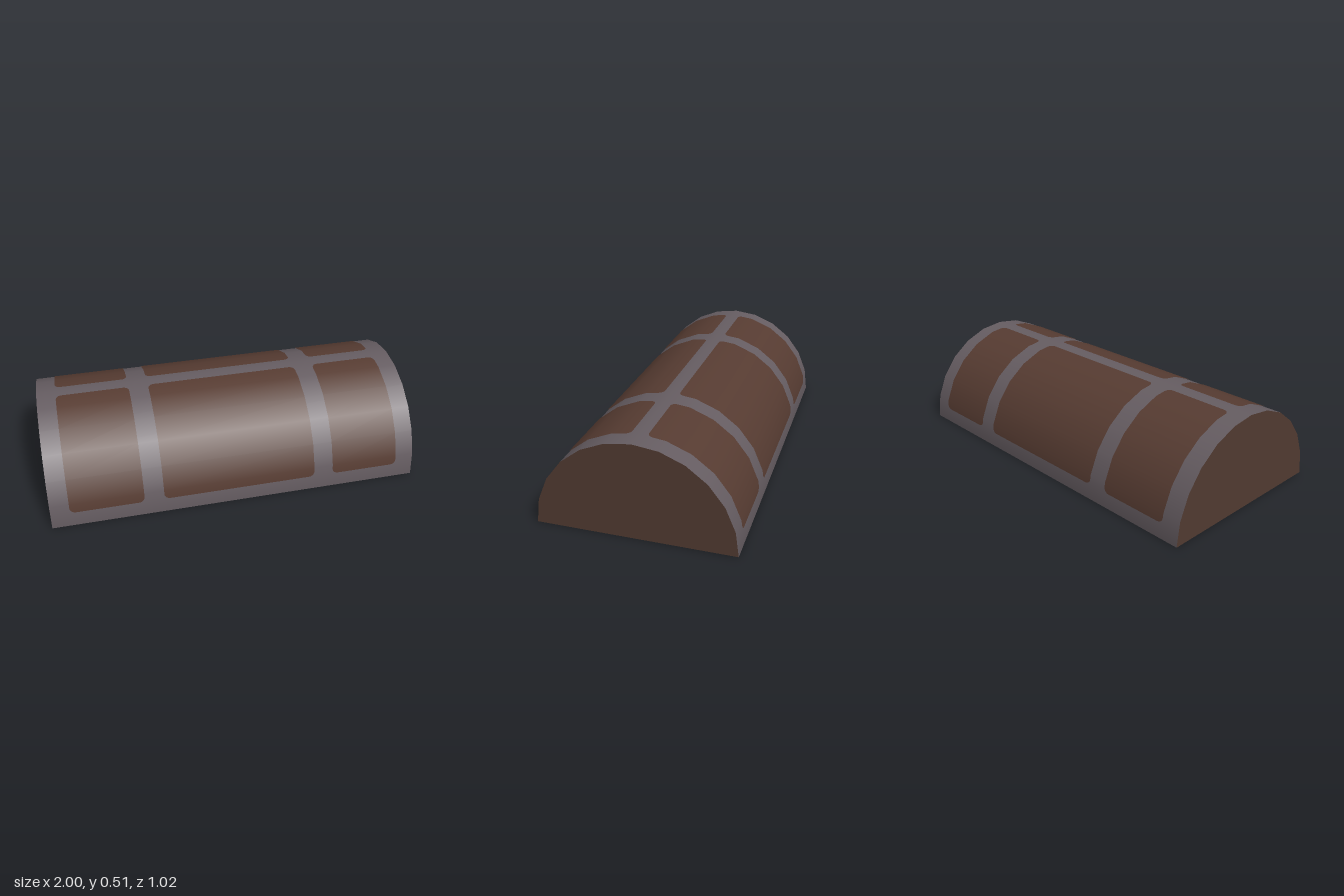
import * as THREE from 'three';

const R = 0.508, INNER = 0.465, END = 1, INNER_END = 0.96;
const STEP = Math.PI / 12;
const CORNER = 0.03;

const make = (name, color) => {
  const m = new THREE.MeshStandardMaterial({ color });
  m.name = name;
  return m;
};

// Curved sheet along x over a 12-sided half round; span(a) gives its x limits at angle a
function vaultSheet(radius, angles, span, inward = false, lift = 0) {
  const pos = [], nor = [], idx = [], s = inward ? -1 : 1;
  angles.forEach((a, i) => {
    const k = Math.min(11, Math.max(0, Math.floor(a / STEP + 1e-6)));
    const r = radius * Math.cos(STEP / 2) / Math.cos(a - (k + 0.5) * STEP) + lift;
    for (const x of span(a)) {
      pos.push(x, r * Math.sin(a), r * Math.cos(a));
      nor.push(0, s * Math.sin(a), s * Math.cos(a));
    }
    if (i === 0) return;
    const p = 2 * (i - 1);
    if (inward) idx.push(p, p + 3, p + 1, p, p + 2, p + 3);
    else idx.push(p, p + 1, p + 3, p, p + 3, p + 2);
  });
  const g = new THREE.BufferGeometry();
  g.setAttribute('position', new THREE.Float32BufferAttribute(pos, 3));
  g.setAttribute('normal', new THREE.Float32BufferAttribute(nor, 3));
  g.setIndex(idx);
  return g;
}

// Panel with rounded corners that follows the vault's facets
function panelSheet(x0, x1, a0, a1) {
  const c = CORNER / R, angles = [];
  for (let i = 0; i <= 5; i++) {
    const d = c * (1 - Math.cos(i / 5 * Math.PI / 2));
    angles.push(a0 + d, a1 - d);
  }
  for (let k = 0; k <= 12; k++) if (k * STEP > a0 && k * STEP < a1) angles.push(k * STEP);
  angles.sort((a, b) => a - b);
  const span = (a) => {
    const d = Math.min(a - a0, a1 - a) * R;
    const inset = d < CORNER ? CORNER - Math.sqrt(Math.max(0, CORNER ** 2 - (CORNER - d) ** 2)) : 0;
    return [x0 + inset, x1 - inset];
  };
  return vaultSheet(R, angles, span, false, 0.003);
}

export function createModel() {
  const group = new THREE.Group();
  group.name = 'chestLid';
  const metal = make('grey metal', 0x665d62);
  const panelWood = make('reddish wood', 0x573c32);
  const wood = make('dark wood', 0x503a30);
  const add = (name, geometry, material) => {
    const mesh = new THREE.Mesh(geometry, material);
    mesh.name = name;
    group.add(mesh);
    return mesh;
  };

  // Outer metal vault and hollow inside
  const facets = Array.from({ length: 13 }, (_, k) => k * STEP);
  add('metalVault', vaultSheet(R, facets, () => [-END, END]), metal);
  add('innerVault', vaultSheet(INNER, facets, () => [-INNER_END, INNER_END], true), wood);

  // Wooden panels between the bands, on both slopes
  const low = Math.asin(0.08 / R), high = Math.acos(0.041 / R);
  for (const [x0, x1] of [[-0.9, -0.51], [-0.405, 0.425], [0.53, 0.9]]) {
    add('frontPanel', panelSheet(x0, x1, low, high), panelWood);
    add('backPanel', panelSheet(x0, x1, Math.PI - high, Math.PI - low), panelWood);
  }

  // Half-round end walls, outside and inside
  for (const side of [-1, 1]) {
    const outer = add('endWall', new THREE.CircleGeometry(R, 12, 0, Math.PI), wood);
    outer.rotation.y = side * Math.PI / 2;
    outer.position.x = side * END;
    const inner = add('innerEndWall', new THREE.CircleGeometry(INNER, 12, 0, Math.PI), wood);
    inner.rotation.y = -side * Math.PI / 2;
    inner.position.x = side * INNER_END;
  }

  // Flat rim around the opening
  const rect = (P, w, h) => new P([[-w, -h], [w, -h], [w, h], [-w, h]].map(([x, y]) => new THREE.Vector2(x, y)));
  const rimShape = rect(THREE.Shape, END, R);
  rimShape.holes.push(rect(THREE.Path, INNER_END, INNER));
  add('rim', new THREE.ShapeGeometry(rimShape).rotateX(Math.PI / 2), wood);

  return group;
}
